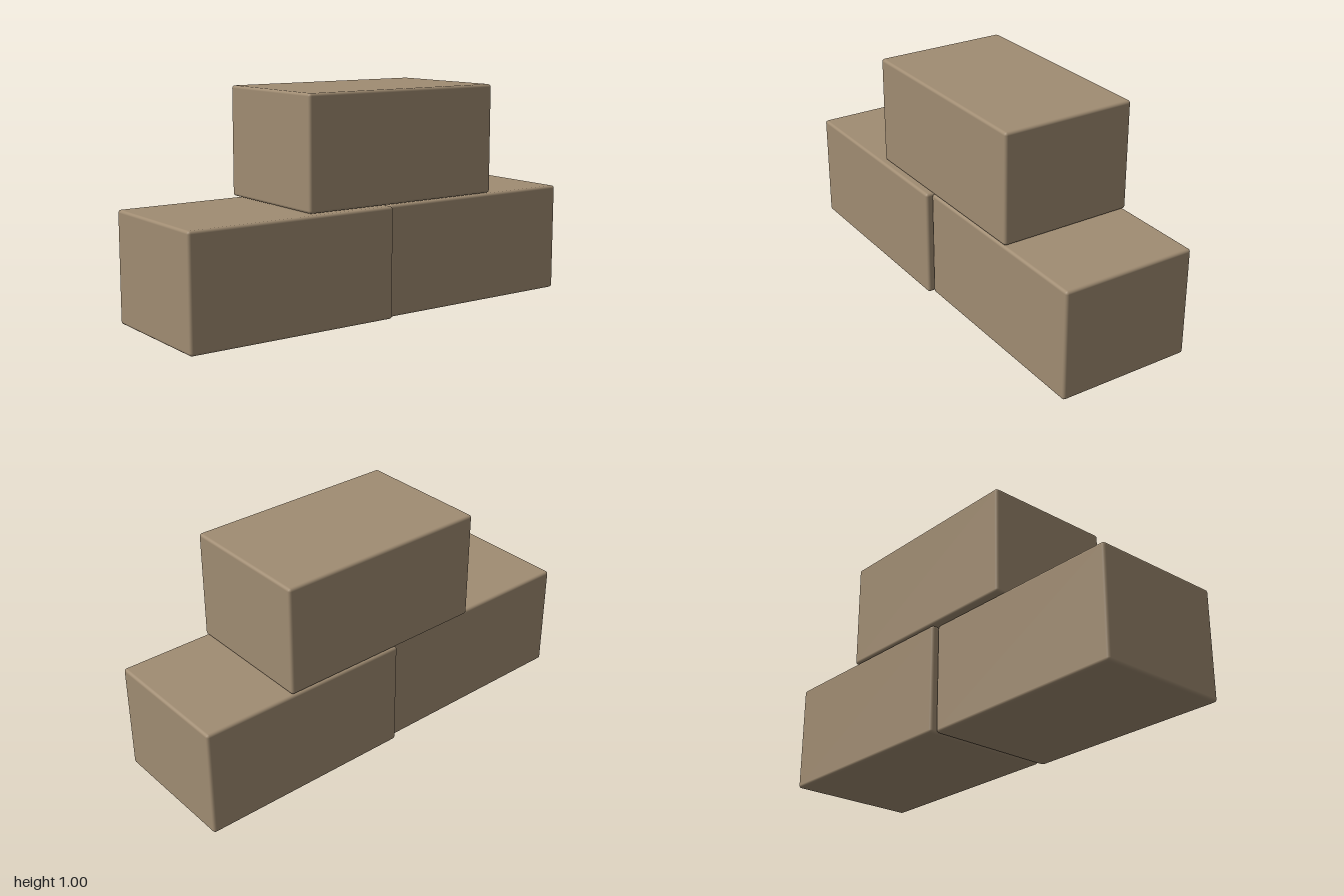
import * as THREE from 'three';
import { RoundedBoxGeometry } from 'three/addons/geometries/RoundedBoxGeometry.js';

export function createModel() {
  const group = new THREE.Group();
  const stone = new THREE.MeshStandardMaterial({ color: 0xa08c72 });
  stone.name = 'tan stone';

  // One softened brick shape shared by all three blocks
  const brick = new RoundedBoxGeometry(0.622, 0.498, 0.998, 2, 0.013);

  const addBlock = (name, x, y, z) => {
    const mesh = new THREE.Mesh(brick, stone);
    mesh.name = name;
    mesh.position.set(x, y, z);
    group.add(mesh);
  };

  // Two blocks end to end, slightly staggered, with a third across the joint
  addBlock('frontBlock', 0.012, 0.25, 0.5);
  addBlock('backBlock', -0.013, 0.25, -0.5);
  addBlock('topBlock', -0.013, 0.751, -0.08);

  return group;
}
